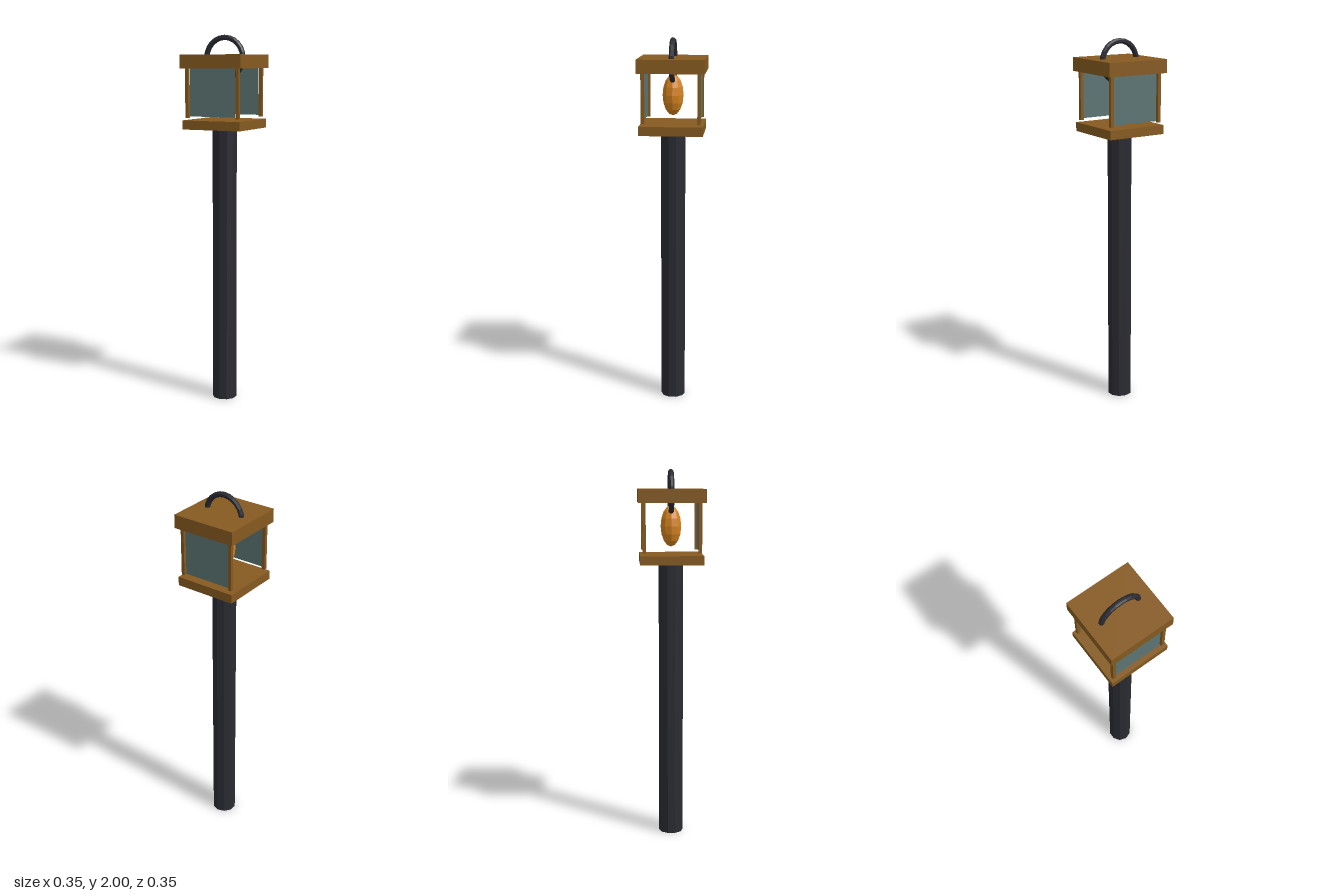
import * as THREE from 'three';

const flat = (name, color, extra = {}) => {
  const m = new THREE.MeshStandardMaterial({ color, flatShading: true, ...extra });
  m.name = name;
  return m;
};

export function createModel() {
  const model = new THREE.Group();
  model.name = 'lanternPost';

  const wood = flat('wood', 0x865a20);
  const metal = flat('darkMetal', 0x2a2b32);
  const glass = flat('glass', 0x5c7573, { side: THREE.DoubleSide });
  const glow = flat('flameOrange', 0xd4821e);

  const add = (name, geometry, material, x, y, z) => {
    const mesh = new THREE.Mesh(geometry, material);
    mesh.name = name;
    mesh.position.set(x, y, z);
    model.add(mesh);
    return mesh;
  };

  // Ten-sided pole
  add('pole', new THREE.CylinderGeometry(0.066, 0.066, 1.505, 10), metal, 0, 0.7525, 0);

  // Wooden base and roof of the lantern
  add('base', new THREE.BoxGeometry(0.336, 0.048, 0.336), wood, 0, 1.528, 0);
  add('roof', new THREE.BoxGeometry(0.354, 0.072, 0.354), wood, 0, 1.861, 0);

  // Corner posts, hanging from the roof just clear of the base
  const postGeometry = new THREE.BoxGeometry(0.018, 0.262, 0.018);
  for (const x of [-0.147, 0.147]) {
    for (const z of [-0.147, 0.147]) add('cornerPost', postGeometry, wood, x, 1.696, z);
  }

  // Front and back panes; the sides stay open
  const paneGeometry = new THREE.PlaneGeometry(0.264, 0.254);
  add('frontPane', paneGeometry, glass, 0, 1.7, 0.148);
  add('backPane', paneGeometry, glass, 0, 1.7, -0.148).rotation.y = Math.PI;

  // Flame: a stretched faceted ball
  add('flame', new THREE.SphereGeometry(0.057, 10, 8), glow, 0, 1.701, 0).scale.y = 1.91;

  // Full carrying ring through the roof, octagonal in section
  const section = [];
  for (let i = 0; i <= 8; i++) {
    const a = ((i + 0.5) / 8) * Math.PI * 2;
    section.push(new THREE.Vector2(0.1066 + 0.0145 * Math.cos(a), 0.0145 * Math.sin(a)));
  }
  add('handleRing', new THREE.LatheGeometry(section, 24).rotateX(Math.PI / 2), metal, 0, 1.88, 0);

  return model;
}
